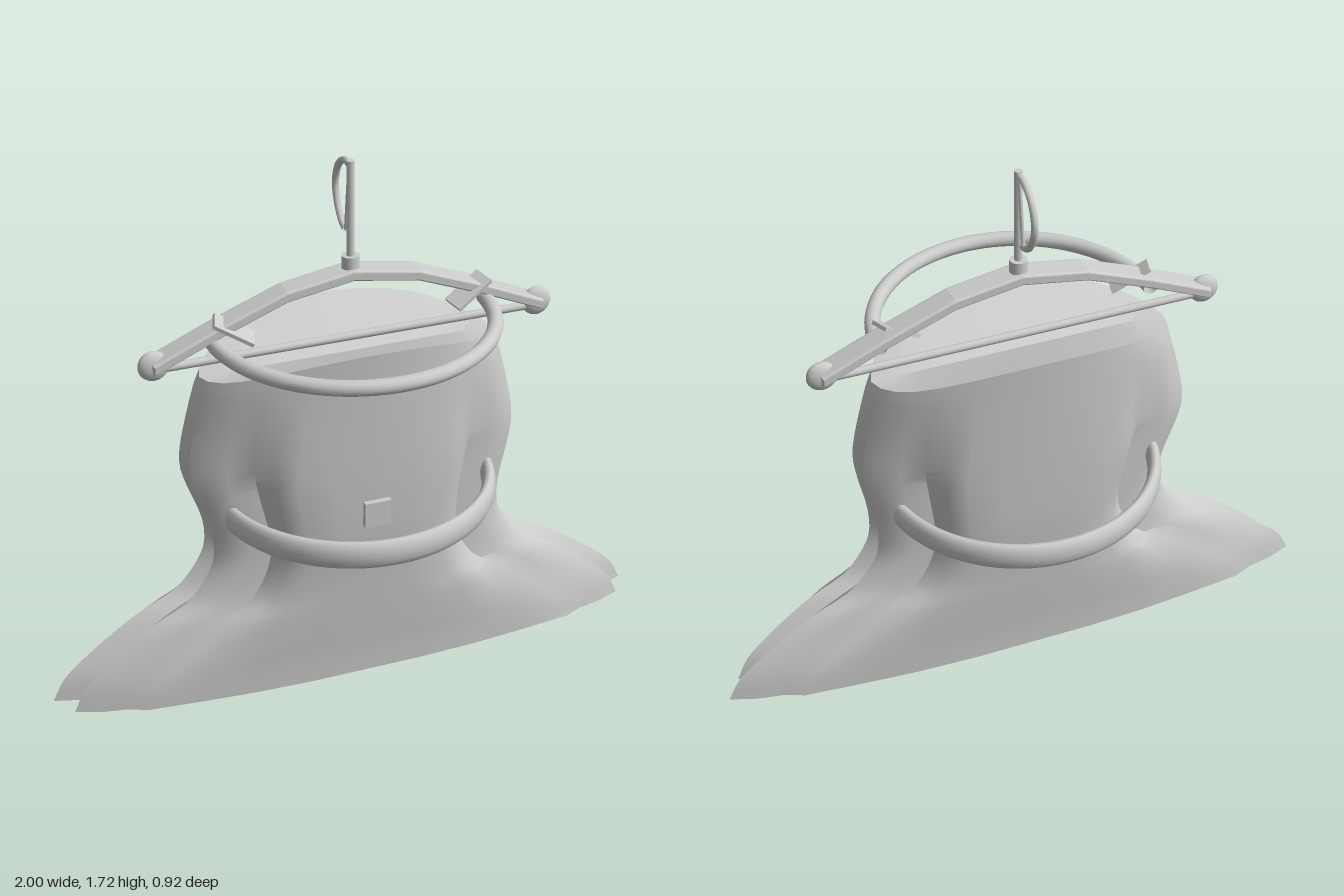
import * as THREE from 'three';
import { toCreasedNormals } from 'three/addons/utils/BufferGeometryUtils.js';

const mat = new THREE.MeshStandardMaterial({ color: 0xcccccc, side: THREE.DoubleSide });
const V = (x, y, z) => new THREE.Vector3(x, y, z);
const { smoothstep, lerp } = THREE.MathUtils;

// Quarter outlines of the garment: [share of half width, share of half depth]
const HEM = [[0, 1], [0.2, 1], [0.4, 0.95], [0.6, 0.84], [0.77, 0.73], [0.83, 0.56], [0.92, 0.45], [1, 0.26], [0.87, 0]];
const WAIST = [[0, 1], [0.25, 1], [0.46, 0.94], [0.57, 0.84], [0.65, 0.54], [0.8, 0.51], [0.94, 0.41], [1, 0.25], [0.89, 0]];
const RIM = [[0, 1], [0.2, 0.98], [0.4, 0.92], [0.55, 0.85], [0.68, 0.75], [0.8, 0.6], [0.9, 0.42], [0.97, 0.2], [1, 0]];

// Half width, height and half depth from hem to rim
const SIDE = new THREE.CatmullRomCurve3([
  [1, 0.005, 0.152], [0.96, 0.08, 0.155], [0.87, 0.16, 0.162], [0.71, 0.27, 0.172], [0.59, 0.33, 0.177],
  [0.53, 0.39, 0.182], [0.485, 0.47, 0.19], [0.48, 0.57, 0.2], [0.505, 0.7, 0.207], [0.52, 0.8, 0.211],
  [0.51, 0.91, 0.215], [0.48, 1.05, 0.22], [0.46, 1.1, 0.222],
].map(p => V(...p)));

// One closed cross-section, counter-clockwise seen from above
function section(hw, y, d) {
  const low = smoothstep(y, 0, 0.4), high = smoothstep(y, 0.7, 1.07);
  const bulge = 1 + 0.06 * smoothstep(y, 0.5, 0.8);
  const quarter = HEM.map((h, i) => [0, 1].map(k => lerp(lerp(h[k], WAIST[i][k], low), RIM[i][k], high)));
  const ring = [];
  for (let i = 0; i < 32; i++) {
    const q = i % 16 <= 8 ? i % 16 : 16 - (i % 16);
    const right = i < 16, front = i < 8 || i > 24;
    const [u, w] = quarter[q];
    const x = (right ? 1 : -bulge) * u * hw * (front ? lerp(0.95, 1, smoothstep(y, 0, 0.6)) : 1);
    // the upper edge rises toward the middle of the front and back
    const lift = 0.095 * w * w * smoothstep(y, 0.7, 1.1);
    ring.push(V(x, y + lift, (front ? 1 : -1 - 0.03 * high) * w * d));
  }
  return ring;
}

// Skin through a stack of closed rings
function loft(rings, crease) {
  const n = rings[0].length, index = [];
  for (let r = 0; r < rings.length - 1; r++) {
    for (let i = 0; i < n; i++) {
      const a = r * n + i, b = r * n + (i + 1) % n;
      index.push(a, b, b + n, a, b + n, a + n);
    }
  }
  const g = new THREE.BufferGeometry().setFromPoints(rings.flat());
  g.setIndex(index);
  return toCreasedNormals(g, crease);
}

export function createModel() {
  const model = new THREE.Group();
  const hanger = new THREE.Group();
  hanger.name = 'hanger';
  hanger.position.x = -0.008;
  model.add(hanger);
  const add = (parent, name, geometry, x = 0, y = 0, z = 0) => {
    const mesh = new THREE.Mesh(geometry, mat);
    mesh.name = name;
    mesh.position.set(x, y, z);
    parent.add(mesh);
    return mesh;
  };
  const tube = (points, radius) =>
    new THREE.TubeGeometry(new THREE.CatmullRomCurve3(points), 32, radius, 10);

  // Flared garment, creased shut at the top and open at the hem
  const rings = [];
  for (let i = 0; i <= 36; i++) {
    const p = SIDE.getPoint(i / 36);
    rings.push(section(p.x, p.y, p.z));
  }
  const rim = rings[36], hem = rings[0];
  add(model, 'garment', loft(rings, 0.75));
  add(model, 'garmentTop', loft([rim, rim.map(p => V(p.x, 1.1, 0))], 0.5));
  add(model, 'hemEdge', loft([hem.map(p => V(p.x * 0.985, p.y, p.z * 0.92)), hem], 0.2));
  add(model, 'button', new THREE.BoxGeometry(0.085, 0.085, 0.025), 0, 0.643, 0.212);

  // Hoop around the waist, taller than it is thick
  const hoop = new THREE.TorusGeometry(0.433, 0.022, 14, 72).rotateX(Math.PI / 2).scale(1, 2.1, 1);
  add(model, 'waistHoop', hoop, -0.006, 0.642, 0);

  // Half hoop in front of the hanger
  const halfHoop = new THREE.TorusGeometry(0.436, 0.024, 12, 48, Math.PI).rotateX(Math.PI / 2);
  add(hanger, 'upperHoop', halfHoop, 0, 1.21, 0);

  // Flat bent hanger arms
  const top = [[-0.62, 1.175], [-0.42, 1.262], [-0.21, 1.343], [0, 1.378], [0.21, 1.343], [0.42, 1.262], [0.62, 1.175]];
  const arm = new THREE.Shape();
  top.forEach(([x, y], i) => (i ? arm.lineTo(x, y) : arm.moveTo(x, y)));
  [...top].reverse().forEach(([x, y]) => arm.lineTo(x, y - 0.022));
  add(hanger, 'hangerArms', new THREE.ExtrudeGeometry(arm, {
    depth: 0.06, bevelEnabled: true, bevelSize: 0.006, bevelThickness: 0.011, bevelSegments: 3,
  }), 0, 0, -0.03);
  add(hanger, 'hangerBar', new THREE.CylinderGeometry(0.013, 0.013, 1.22, 12).rotateZ(Math.PI / 2), 0, 1.15, 0);

  // End knobs and clips
  for (const s of [-1, 1]) {
    add(hanger, 'hangerKnob', new THREE.SphereGeometry(0.048, 20, 14).scale(1, 1, 0.5), s * 0.617, 1.163, 0);
    const clip = add(hanger, 'hangerClip', new THREE.BoxGeometry(0.135, 0.012, 0.07), s * 0.375, 1.25, 0.025);
    clip.rotation.set(0.15, s * 0.3, s * 0.5);
  }

  // Collar, stem and hook
  add(hanger, 'collar', new THREE.CylinderGeometry(0.027, 0.027, 0.05, 20), 0, 1.395, 0);
  add(hanger, 'stem', new THREE.CylinderGeometry(0.012, 0.012, 0.31, 12), 0, 1.565, 0);
  add(hanger, 'hook', tube([V(0, 1.707, -0.005), V(0, 1.705, -0.045), V(0, 1.67, -0.1), V(0, 1.6, -0.127),
    V(0, 1.535, -0.105), V(0, 1.497, -0.068), V(0, 1.487, -0.038)], 0.011));
  add(hanger, 'hookBrace', tube([V(0, 1.707, -0.008), V(0, 1.487, -0.038)], 0.006));
  return model;
}
